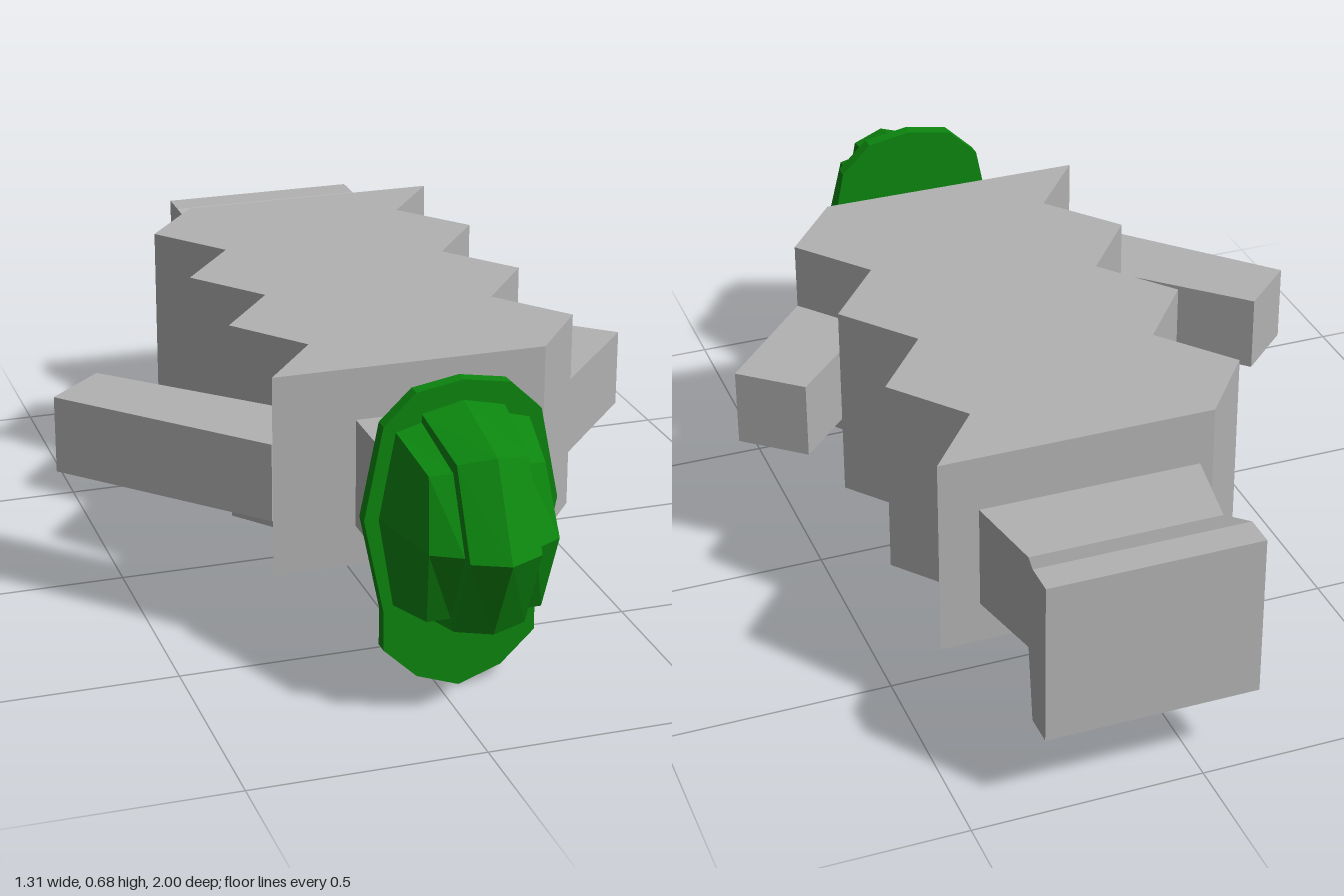
import * as THREE from 'three';

const grey = new THREE.MeshStandardMaterial({ color: 0xb2b2b2, flatShading: true });
grey.name = 'grey';
const green = new THREE.MeshStandardMaterial({ color: 0x0c860f, flatShading: true, side: THREE.DoubleSide });
green.name = 'green';

const CX = 0.043; // centre line of the head

function add(group, name, geometry, material) {
  const mesh = new THREE.Mesh(geometry, material);
  mesh.name = name;
  group.add(mesh);
  return mesh;
}

// Upright prism from an [x, z] outline
function prism(points, y0, y1) {
  const shape = new THREE.Shape(points.map(([x, z]) => new THREE.Vector2(x, -z)));
  const geo = new THREE.ExtrudeGeometry(shape, { depth: y1 - y0, bevelEnabled: false });
  return geo.rotateX(-Math.PI / 2).translate(0, y0, 0);
}

// Flat-faced surface between columns of [x, y, z] points
function loft(columns) {
  const pos = [];
  for (let i = 0; i < columns.length - 1; i++) {
    for (let j = 0; j < columns[i].length - 1; j++) {
      const a = columns[i][j], b = columns[i + 1][j];
      const c = columns[i + 1][j + 1], d = columns[i][j + 1];
      pos.push(...a, ...d, ...c, ...a, ...c, ...b);
    }
  }
  const geo = new THREE.BufferGeometry();
  geo.setAttribute('position', new THREE.Float32BufferAttribute(pos, 3));
  geo.computeVertexNormals();
  return geo;
}

export function createModel() {
  const model = new THREE.Group();
  model.name = 'figure';

  // Zigzag body
  const left = [], right = [];
  for (let i = 0; i < 8; i++) {
    const z = -0.655 + i * 0.161;
    left.push([i % 2 ? -0.285 : -0.157, z]);
    right.push([i % 2 ? 0.313 : 0.44, z]);
  }
  add(model, 'body', prism([...left, ...right.reverse()], 0.19, 0.635), grey);

  // Slanted arms
  add(model, 'rightArm', prism([[-0.535, -0.04], [-0.655, 0.072], [-0.285, 0.466], [-0.16, 0.32]], 0.312, 0.485), grey);
  add(model, 'leftArm', prism([[0.527, -0.037], [0.654, 0.072], [0.44, 0.31], [0.325, 0.17]], 0.312, 0.485), grey);

  // Neck
  add(model, 'neck', new THREE.BoxGeometry(0.295, 0.24, 0.23).translate(CX, 0.4, 0.575), grey);

  // Flared tail: [z, x0, x1, y0, y1] per section
  const sections = [
    [-1, -0.117, 0.344, 0.182, 0.545],
    [-0.93, -0.117, 0.344, 0.182, 0.545],
    [-0.845, -0.095, 0.32, 0.296, 0.512],
    [-0.645, -0.13, 0.355, 0.282, 0.512],
  ];
  const tail = new THREE.BoxGeometry(1, 1, 1, 1, 1, 3);
  const p = tail.attributes.position;
  for (let i = 0; i < p.count; i++) {
    const [z, x0, x1, y0, y1] = sections[Math.round((p.getZ(i) + 0.5) * 3)];
    p.setXYZ(i, p.getX(i) < 0 ? x0 : x1, p.getY(i) < 0 ? y0 : y1, z);
  }
  tail.computeVertexNormals();
  add(model, 'tail', tail, grey);

  // Flat rim behind the cap
  const half = [[0.1, 0.665], [0.168, 0.6], [0.208, 0.4], [0.165, 0.19], [0.165, 0.105], [0.092, 0.035]];
  const rimPoints = [[0, 0.682], ...half, [0, 0.002], ...half.map(([x, y]) => [-x, y]).reverse()];
  const rimShape = new THREE.Shape(rimPoints.map(([x, y]) => new THREE.Vector2(x + CX, y)));
  add(model, 'capRim', new THREE.ExtrudeGeometry(rimShape, { depth: 0.03, bevelEnabled: false }).translate(0, 0, 0.68), green);

  // Ribbed cap with a raised middle band
  const halfColumns = [
    [[0, 0.638, 0.71], [0, 0.59, 0.905], [0, 0.4, 1], [0, 0.21, 0.905], [0, 0.17, 0.71]],
    [[0.088, 0.618, 0.71], [0.075, 0.575, 0.88], [0.075, 0.4, 0.965], [0.075, 0.215, 0.88], [0.088, 0.18, 0.71]],
    [[0.088, 0.6, 0.71], [0.075, 0.55, 0.86], [0.075, 0.4, 0.935], [0.075, 0.235, 0.86], [0.088, 0.195, 0.71]],
    [[0.142, 0.585, 0.71], [0.122, 0.545, 0.85], [0.137, 0.4, 0.9], [0.122, 0.23, 0.85], [0.145, 0.205, 0.71]],
    Array(5).fill([0.177, 0.4, 0.71]),
  ];
  const side = (s) => halfColumns.map((col) => col.map(([x, y, z]) => [CX + s * x, y, z]));
  add(model, 'cap', loft([...side(-1).reverse(), ...side(1).slice(1)]), green);

  return model;
}
